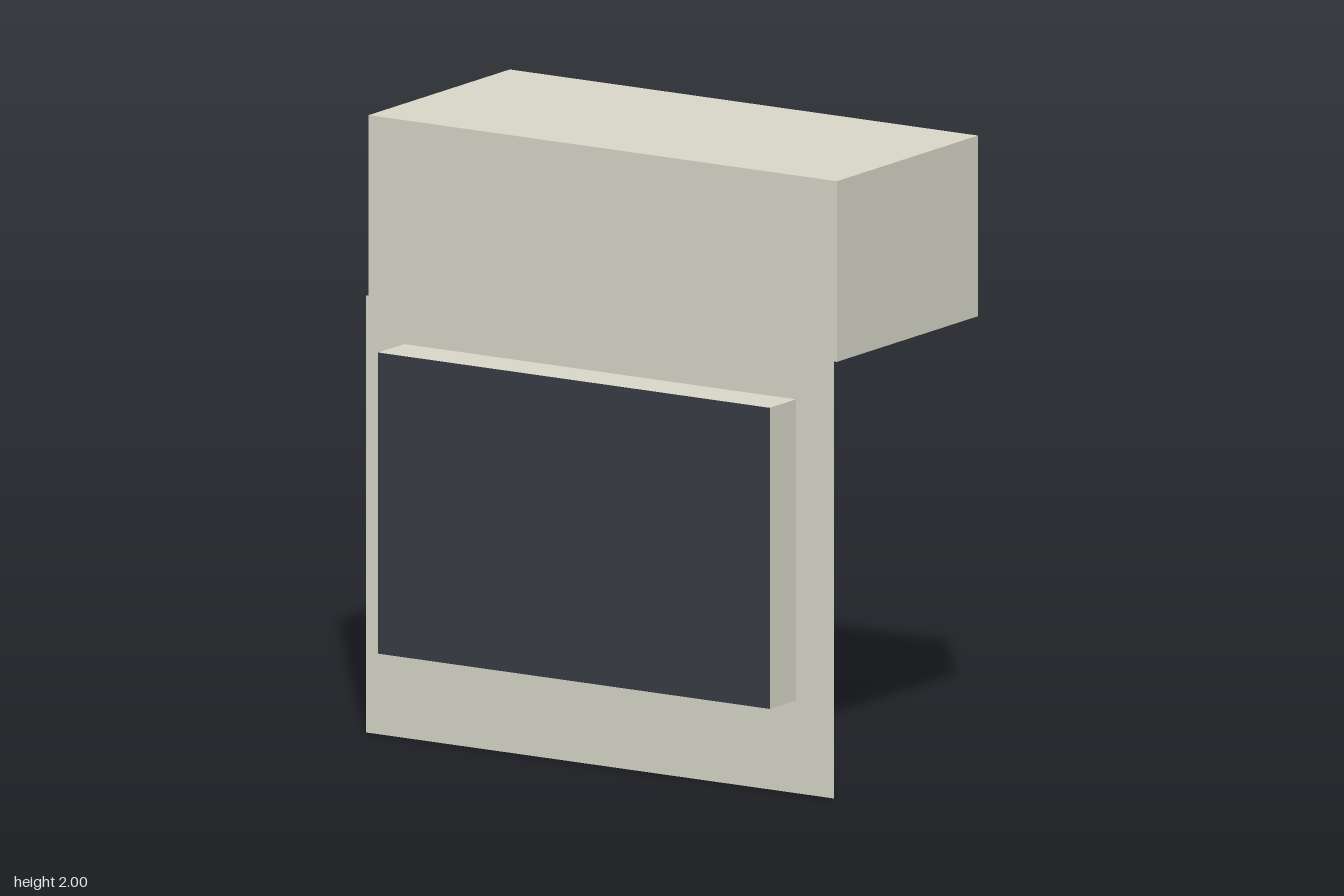
import * as THREE from 'three';
import { toCreasedNormals } from 'three/addons/utils/BufferGeometryUtils.js';

const HOOD_BOTTOM = 1.415, TOP = 2, BACK = -0.48, WALL = 0.33, FRONT = 0.48;

// Arch: circular arc from half chord and rise
const HALF = 0.63, RISE = 0.34;
const RADIUS = (HALF * HALF + RISE * RISE) / (2 * RISE);
const ARCH_Y = HOOD_BOTTOM + RISE - RADIUS;
const ARCH_END = Math.asin((HOOD_BOTTOM - ARCH_Y) / RADIUS);

// Window recess
const L = -0.75, R = 0.735, B = 0.3, T = 1.275;

export function createModel() {
  const group = new THREE.Group();
  const cream = new THREE.MeshStandardMaterial({ color: 0xdcdacb, side: THREE.DoubleSide });
  const dark = new THREE.MeshStandardMaterial({ color: 0x3a3d45, side: THREE.DoubleSide });

  const add = (name, geometry, material, x = 0, y = 0, z = 0) => {
    const mesh = new THREE.Mesh(geometry, material);
    mesh.name = name;
    mesh.position.set(x, y, z);
    group.add(mesh);
    return mesh;
  };

  // Deep upper block with an arched underside
  const hood = new THREE.Shape();
  hood.moveTo(-0.885, HOOD_BOTTOM);
  hood.lineTo(-HALF, HOOD_BOTTOM);
  hood.absarc(0, ARCH_Y, RADIUS, Math.PI - ARCH_END, ARCH_END, true);
  hood.lineTo(0.89, HOOD_BOTTOM);
  hood.lineTo(0.89, TOP);
  hood.lineTo(-0.885, TOP);
  hood.closePath();
  const hoodGeometry = new THREE.ExtrudeGeometry(hood, {
    depth: WALL - BACK, bevelEnabled: false, curveSegments: 32,
  });
  add('archedHood', toCreasedNormals(hoodGeometry, 0.4), cream, 0, 0, BACK);

  // Thin front wall, filling the arch at the top, with a window opening
  const wall = new THREE.Shape();
  wall.moveTo(-0.895, 0);
  wall.lineTo(0.88, 0);
  wall.lineTo(0.88, HOOD_BOTTOM);
  wall.lineTo(HALF, HOOD_BOTTOM);
  wall.absarc(0, ARCH_Y, RADIUS, ARCH_END, Math.PI - ARCH_END, false);
  wall.lineTo(-0.895, HOOD_BOTTOM);
  wall.closePath();
  const opening = new THREE.Path();
  opening.moveTo(L, B);
  opening.lineTo(L, T);
  opening.lineTo(R, T);
  opening.lineTo(R, B);
  opening.closePath();
  wall.holes.push(opening);
  add('frontWall', new THREE.ShapeGeometry(wall, 32), cream, 0, 0, WALL);

  // Window box projecting forward, open at the back
  const w = R - L, h = T - B, d = FRONT - WALL;
  const cx = (L + R) / 2, cy = (B + T) / 2, cz = (WALL + FRONT) / 2;
  for (const s of [-1, 1]) {
    const side = add(s < 0 ? 'windowRightSide' : 'windowLeftSide',
      new THREE.PlaneGeometry(d, h), cream, cx + s * w / 2, cy, cz);
    side.rotation.y = s * Math.PI / 2;
    const ledge = add(s < 0 ? 'windowSill' : 'windowHead',
      new THREE.PlaneGeometry(w, d), cream, cx, cy + s * h / 2, cz);
    ledge.rotation.x = -s * Math.PI / 2;
  }
  add('windowPane', new THREE.PlaneGeometry(w, h), dark, cx, cy, FRONT);

  return group;
}
